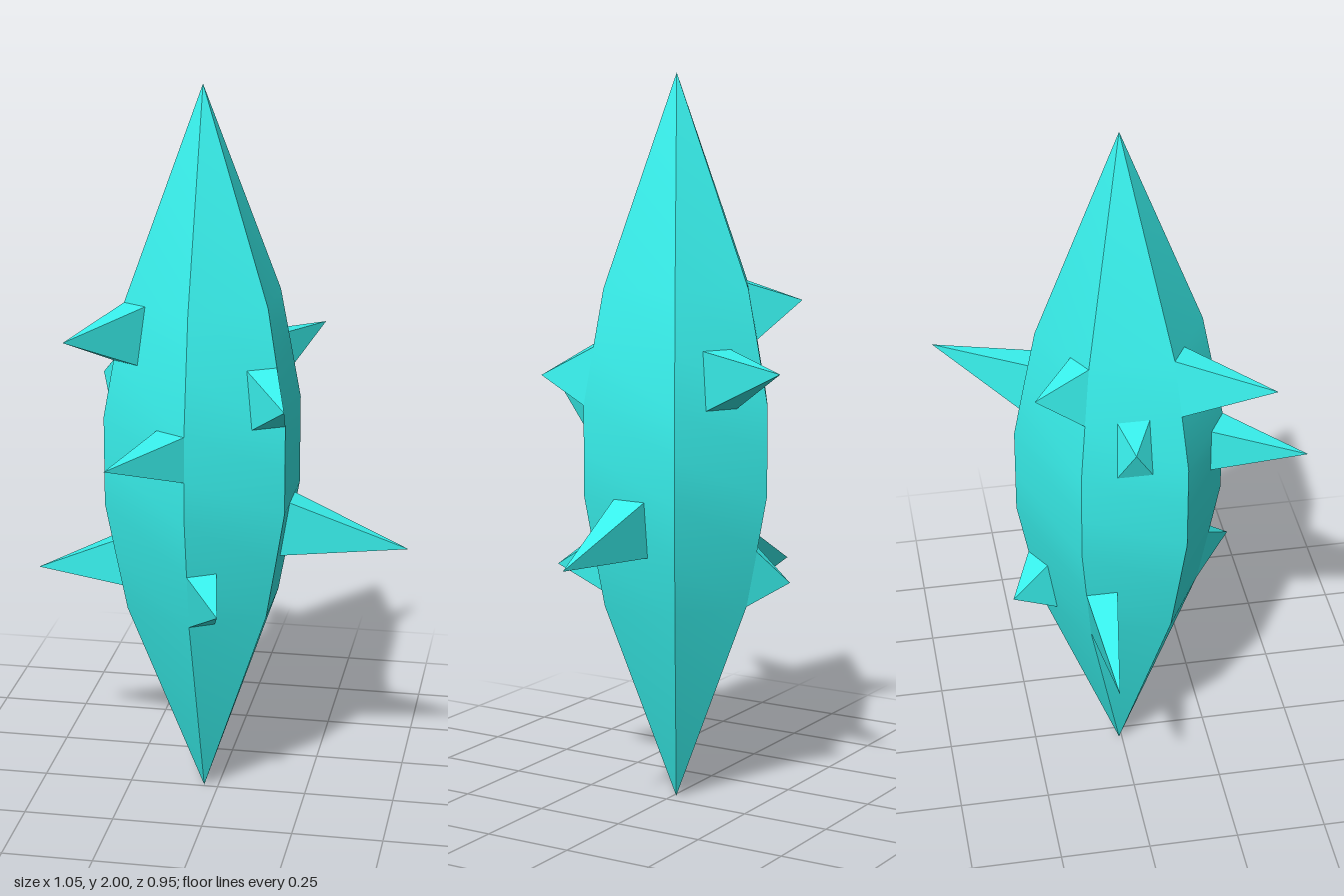
import * as THREE from 'three';
import { toCreasedNormals } from 'three/addons/utils/BufferGeometryUtils.js';

const CENTRE_X = -0.04, CENTRE_Z = -0.008;

// Crystal profile as [radius, height]; the middle entries bound the rows of cells
const PROFILE = [
  [0, 0], [0.222, 0.57], [0.253, 0.725], [0.283, 0.88], [0.283, 1.0],
  [0.283, 1.125], [0.253, 1.28], [0.222, 1.435], [0, 2],
];

// Point on the six-sided body: side 0-5, across 0-1 along that side, profile index
function bodyPoint(side, across, level) {
  const [r, y] = PROFILE[level];
  const corner = (k) => new THREE.Vector3(
    CENTRE_X + r * Math.sin(k * Math.PI / 3), y, CENTRE_Z + r * Math.cos(k * Math.PI / 3));
  return corner(side).lerp(corner(side + 1), across);
}

// Four-sided spike drawn out of one cell (a third of a side wide, one row high)
function spikeGeometry(side, column, row, tip) {
  const left = column / 3, right = (column + 1) / 3;
  const base = [
    bodyPoint(side, left, row), bodyPoint(side, right, row),
    bodyPoint(side, right, row + 1), bodyPoint(side, left, row + 1),
  ];
  const apex = new THREE.Vector3(...tip);
  const points = base.flatMap((p, i) => [p, base[(i + 1) % 4], apex]);
  const geometry = new THREE.BufferGeometry().setFromPoints(points);
  geometry.computeVertexNormals();
  return geometry;
}

// side, column, row, tip position
const SPIKES = [
  [0, 0, 1, [0.055, 0.645, 0.32]],
  [0, 2, 5, [0.22, 1.2, 0.258]],
  [1, 1, 2, [0.525, 0.75, -0.01]],
  [2, 1, 5, [0.23, 1.255, -0.475]],
  [3, 0, 1, [-0.125, 0.63, -0.317]],
  [3, 2, 6, [-0.28, 1.385, -0.265]],
  [4, 1, 5, [-0.315, 1.21, -0.01]],
  [4, 0, 1, [-0.53, 0.6, -0.09]],
  [5, 0, 6, [-0.34, 1.385, 0.35]],
  [5, 2, 4, [-0.21, 1.085, 0.472]],
];

export function createModel() {
  const model = new THREE.Group();
  model.name = 'spikedCrystal';
  const material = new THREE.MeshStandardMaterial({ color: 0x38f0ec });

  // Body: six-sided, sharp along its long edges and smooth from tip to tip
  const profile = PROFILE.map(([r, y]) => new THREE.Vector2(r, y));
  const body = new THREE.Mesh(
    toCreasedNormals(new THREE.LatheGeometry(profile, 6), 0.6), material);
  body.name = 'crystalBody';
  body.position.set(CENTRE_X, 0, CENTRE_Z);
  model.add(body);

  // Spikes
  const spikes = new THREE.Group();
  spikes.name = 'spikes';
  SPIKES.forEach((spec, i) => {
    const spike = new THREE.Mesh(spikeGeometry(...spec), material);
    spike.name = `spike${i + 1}`;
    spikes.add(spike);
  });
  model.add(spikes);
  return model;
}
